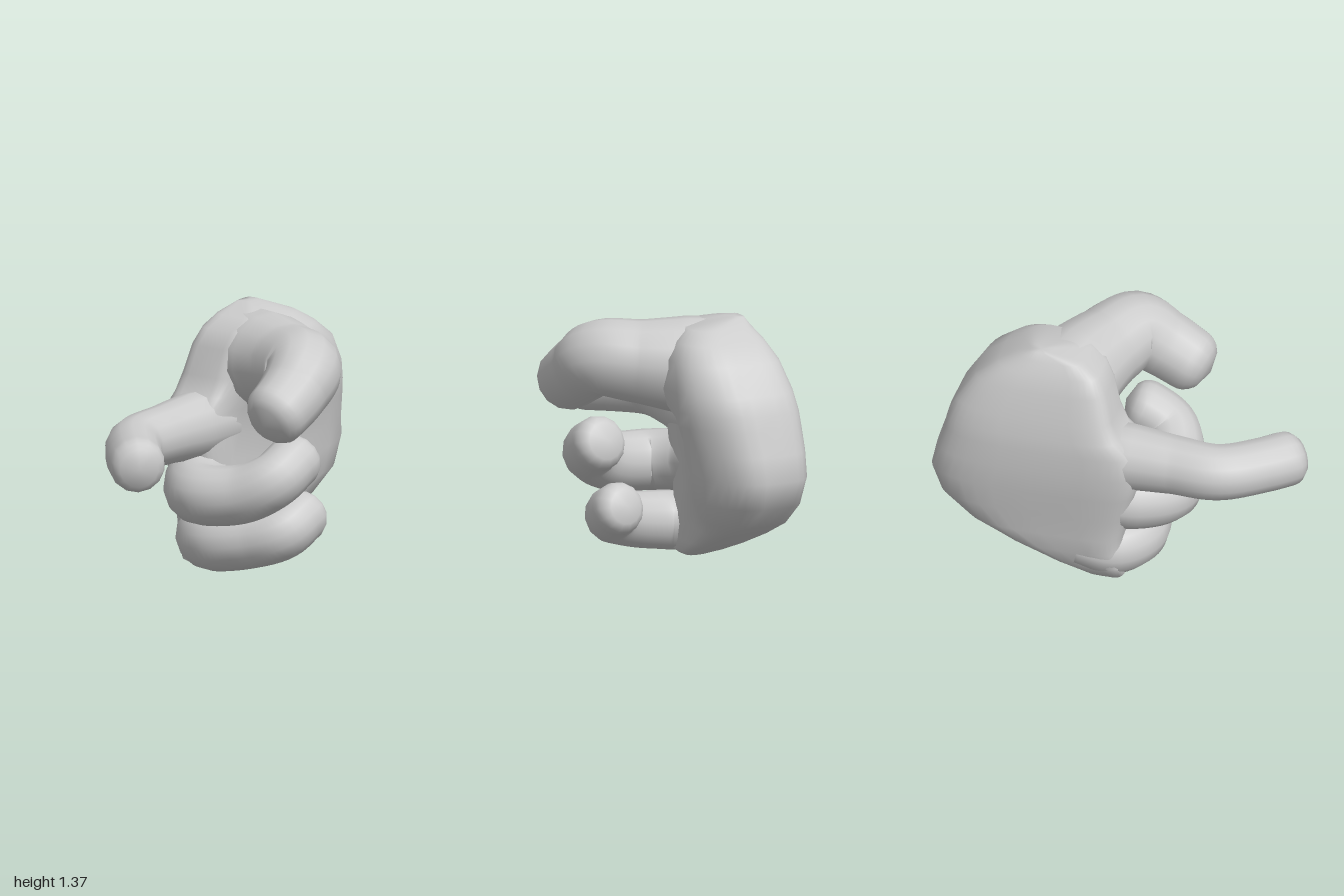
import * as THREE from 'three';
import { mergeVertices } from 'three/addons/utils/BufferGeometryUtils.js';

const material = new THREE.MeshStandardMaterial({ color: 0xcccccc });
const { lerp, smoothstep } = THREE.MathUtils;

function smoothMesh(name, geometry) {
  geometry.deleteAttribute('normal');
  geometry.deleteAttribute('uv');
  const merged = mergeVertices(geometry, 1e-5);
  merged.computeVertexNormals();
  const mesh = new THREE.Mesh(merged, material);
  mesh.name = name;
  return mesh;
}

// Tapered finger through [x, y, z, radius] points, rounded off at the tip
function finger(name, points, sides = 14, steps = 44) {
  const curve = new THREE.CatmullRomCurve3(points.map(p => new THREE.Vector3(p[0], p[1], p[2])));
  const geometry = new THREE.TubeGeometry(curve, steps, 1, sides, false);
  const pos = geometry.attributes.position;
  const length = curve.getLength();
  const tipRadius = points[points.length - 1][3];
  const v = new THREE.Vector3();
  for (let i = 0; i <= steps; i++) {
    const u = i / steps;
    const t = curve.getUtoTmapping(u) * (points.length - 1);
    const k = Math.min(Math.floor(t), points.length - 2);
    let r = lerp(points[k][3], points[k + 1][3], t - k);
    const d = Math.max(0, 1 - (1 - u) * length / (tipRadius * 0.75));
    r *= Math.pow(Math.max(0, 1 - d * d), 0.45);
    const c = curve.getPointAt(u);
    for (let j = 0; j <= sides; j++) {
      const n = i * (sides + 1) + j;
      v.fromBufferAttribute(pos, n).sub(c).multiplyScalar(r).add(c);
      pos.setXYZ(n, v.x, v.y, v.z);
    }
  }
  return smoothMesh(name, geometry);
}

// Palm: horizontal sections, thin and square at the knuckles, round at the heel
function palm() {
  // y, xMin, xMax, zBack, zFront
  const sections = [
    [0.00, -0.04, 0.10, -0.32, -0.20],
    [0.03, -0.06, 0.17, -0.42, -0.16],
    [0.10, -0.06, 0.35, -0.46, -0.14],
    [0.20, -0.05, 0.59, -0.49, -0.10],
    [0.30, -0.06, 0.80, -0.50, -0.04],
    [0.43, -0.09, 0.95, -0.51, 0.04],
    [0.58, -0.13, 1.00, -0.53, 0.07],
    [0.72, -0.16, 0.97, -0.535, 0.09],
    [0.85, -0.14, 0.93, -0.53, 0.12],
    [0.93, -0.05, 0.91, -0.52, 0.125],
    [1.03, 0.00, 0.87, -0.50, 0.13],
    [1.18, 0.04, 0.77, -0.46, 0.11],
    [1.27, 0.09, 0.65, -0.42, 0.05],
    [1.33, 0.18, 0.55, -0.38, -0.03],
    [1.37, 0.36, 0.47, -0.35, -0.27],
  ];
  const sides = 36;
  const verts = [], index = [];
  const soft = (s, e) => Math.sign(s) * Math.pow(Math.abs(s), e);
  const center = ([y, x0, x1, z0, z1]) => [(x0 + x1) / 2, y, (z0 + z1) / 2];
  for (const [y, x0, x1, z0, z1] of sections) {
    const thumbSide = smoothstep(y, 0.75, 1.05);
    for (let j = 0; j < sides; j++) {
      const a = j / sides * Math.PI * 2;
      const e = Math.cos(a) < 0 ? 0.4 : 0.6;
      const x = (x0 + x1) / 2 + (x1 - x0) / 2 * soft(Math.cos(a), e);
      const bulge = smoothstep(x, 0.1 - 0.15 * thumbSide, 0.65 - 0.2 * thumbSide);
      const front = lerp(Math.min(z1, -0.15), z1 - 0.06 * smoothstep(x, 0.6, 0.95), bulge);
      const mid = (z0 + Math.min(z1, -0.1)) / 2;
      const s = soft(Math.sin(a), e);
      verts.push(x, y, mid + (s > 0 ? (front - mid) * s : (mid - z0) * s));
    }
  }
  const last = (sections.length - 1) * sides;
  const bottom = verts.length / 3;
  verts.push(...center(sections[0]), ...center(sections[sections.length - 1]));
  for (let j = 0; j < sides; j++) {
    const n = (j + 1) % sides;
    for (let r = 0; r < last; r += sides) {
      index.push(r + j, r + sides + j, r + n, r + n, r + sides + j, r + sides + n);
    }
    index.push(bottom, j, n, bottom + 1, last + n, last + j);
  }
  const geometry = new THREE.BufferGeometry();
  geometry.setAttribute('position', new THREE.Float32BufferAttribute(verts, 3));
  geometry.setIndex(index);
  return smoothMesh('palm', geometry);
}

export function createModel() {
  const hand = new THREE.Group();
  hand.name = 'hand';
  hand.add(palm());

  // Thumb swells out of the top of the palm, sweeps forward and bends inwards
  hand.add(finger('thumb', [
    [0.36, 1.04, -0.34, 0.16], [0.32, 1.08, -0.22, 0.27], [0.27, 1.10, -0.06, 0.26], [0.18, 1.12, 0.13, 0.225],
    [0.06, 1.135, 0.31, 0.205], [-0.08, 1.05, 0.345, 0.185], [-0.22, 0.97, 0.345, 0.175], [-0.34, 0.91, 0.335, 0.17],
  ]));

  // Pointing finger
  hand.add(finger('indexFinger', [
    [0.20, 0.77, -0.32, 0.18], [-0.08, 0.77, -0.325, 0.18], [-0.32, 0.77, -0.335, 0.16],
    [-0.56, 0.765, -0.335, 0.152], [-0.765, 0.755, -0.2, 0.15], [-0.95, 0.745, -0.025, 0.15],
  ]));

  // Curled fingers
  hand.add(finger('middleFinger', [
    [0.15, 0.52, -0.33, 0.17], [-0.08, 0.48, -0.29, 0.17], [-0.245, 0.46, -0.14, 0.165],
    [-0.21, 0.49, 0.11, 0.158], [-0.14, 0.57, 0.26, 0.15], [-0.02, 0.64, 0.288, 0.148], [0.11, 0.69, 0.285, 0.148],
  ]));
  hand.add(finger('littleFinger', [
    [0.20, 0.20, -0.34, 0.15], [0.03, 0.165, -0.31, 0.16], [-0.075, 0.165, -0.17, 0.16],
    [-0.05, 0.20, 0.06, 0.15], [0.01, 0.25, 0.21, 0.145], [0.12, 0.31, 0.24, 0.142], [0.24, 0.35, 0.235, 0.142],
  ]));
  return hand;
}
